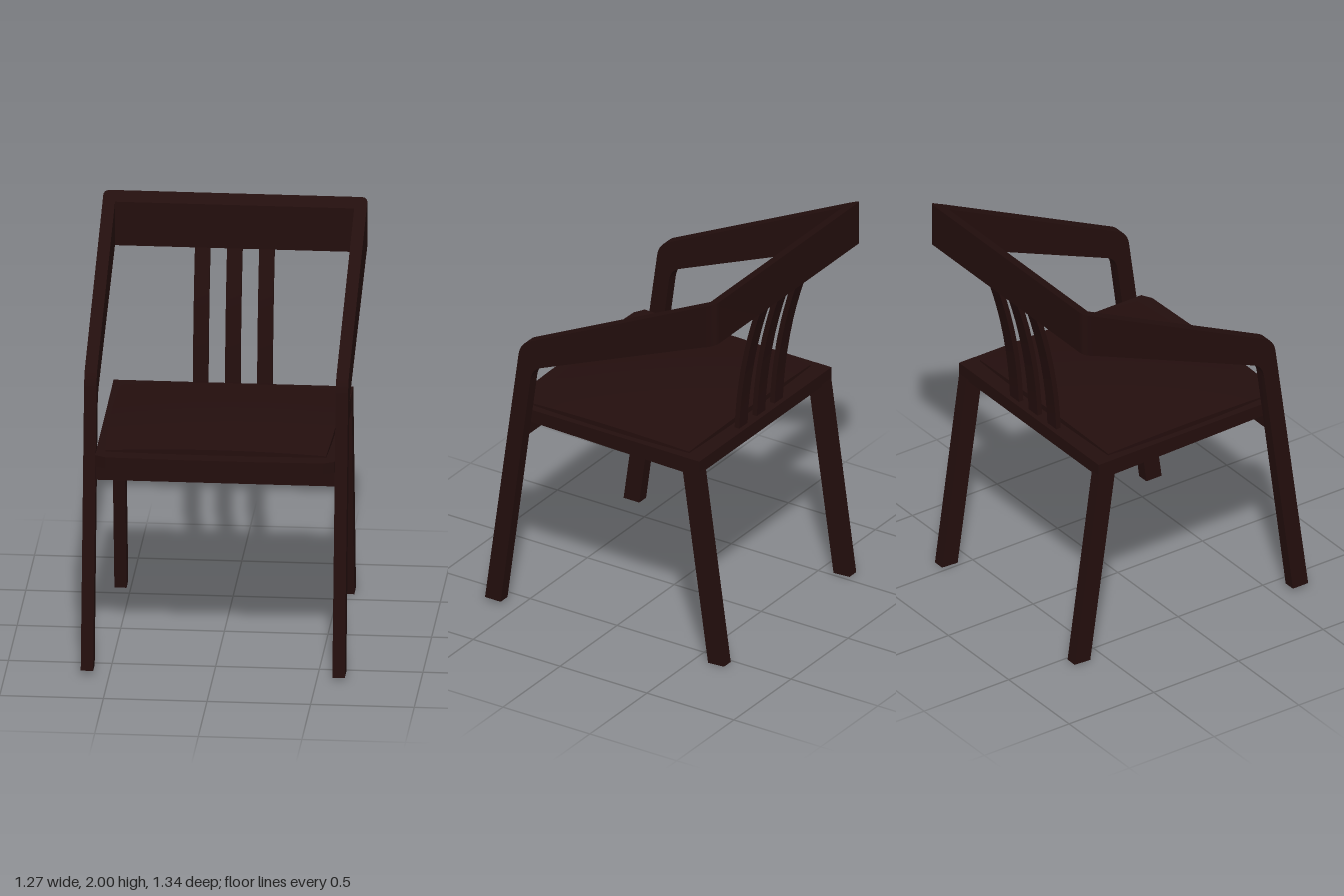
import * as THREE from 'three';
import { toCreasedNormals } from 'three/addons/utils/BufferGeometryUtils.js';

const darkWood = new THREE.MeshStandardMaterial({ color: 0x230e0d });
darkWood.name = 'darkWood';

export function createModel() {
  const chair = new THREE.Group();
  chair.name = 'armchair';

  const add = (name, geometry) => {
    const mesh = new THREE.Mesh(geometry, darkWood);
    mesh.name = name;
    chair.add(mesh);
    return mesh;
  };
  const box = (name, w, h, d, x, y, z) =>
    add(name, new THREE.BoxGeometry(w, h, d).translate(x, y, z));
  const polygon = (points) => new THREE.Shape(points.map(([a, b]) => new THREE.Vector2(a, b)));

  // Extrude a side profile drawn as (z, y) between x0 and x1
  const sideExtrude = (shape, x0, x1) => toCreasedNormals(
    new THREE.ExtrudeGeometry(shape, { depth: x1 - x0, bevelEnabled: false, curveSegments: 8 })
      .rotateY(-Math.PI / 2).translate(x1, 0, 0), 0.5);

  // Extrude a plan drawn as (x, z) between y0 and y1
  const planExtrude = (shape, y0, y1) => new THREE.ExtrudeGeometry(shape,
    { depth: y1 - y0, bevelEnabled: false, curveSegments: 6 })
    .rotateX(Math.PI / 2).translate(0, y1, 0);

  // Front leg bending into the rising armrest
  const arm = new THREE.Shape();
  arm.moveTo(0.58, 0.02);
  arm.lineTo(0.67, 0.02);
  arm.lineTo(0.477, 1.4);
  arm.quadraticCurveTo(0.466, 1.465, 0.41, 1.488);
  arm.lineTo(-0.6, 1.974);
  arm.lineTo(-0.6, 1.752);
  arm.lineTo(0.345, 1.362);
  arm.quadraticCurveTo(0.402, 1.34, 0.41, 1.275);
  arm.closePath();

  // Splayed rear leg
  const rearLeg = polygon([[-0.575, 0], [-0.43, 1], [-0.43, 1.08], [-0.515, 1.08], [-0.667, 0.005]]);

  // Side rail, slightly deeper at the back
  const sideRail = polygon([[-0.5, 0.995], [0.5, 1.015], [0.5, 1.08], [-0.5, 1.08]]);

  for (const [side, s] of [['left', 1], ['right', -1]]) {
    const span = (a, b) => (s > 0 ? [a, b] : [-b, -a]);
    add(side + 'FrontLegAndArm', sideExtrude(arm, ...span(0.577, 0.637)));
    add(side + 'RearLeg', sideExtrude(rearLeg, ...span(0.52, 0.579)));
    add(side + 'SideRail', sideExtrude(sideRail, ...span(0.525, 0.578)));
  }

  // Back rail: rounded rear corners, top and bottom following the arm slope
  const railPlan = new THREE.Shape();
  railPlan.moveTo(-0.637, -0.587);
  railPlan.lineTo(-0.637, -0.625);
  railPlan.quadraticCurveTo(-0.637, -0.658, -0.604, -0.658);
  railPlan.lineTo(0.604, -0.658);
  railPlan.quadraticCurveTo(0.637, -0.658, 0.637, -0.625);
  railPlan.lineTo(0.637, -0.587);
  railPlan.closePath();
  const rail = planExtrude(railPlan, 0, 1);
  const rp = rail.attributes.position;
  for (let i = 0; i < rp.count; i++) {
    const back = -0.587 - rp.getZ(i);
    rp.setY(i, rp.getY(i) > 0.5 ? 1.967 + back * 0.48 : 1.745 + back * 0.44);
  }
  add('backRail', toCreasedNormals(rail, 0.5));

  // Seat board with clipped front corners
  const board = polygon([[-0.578, -0.525], [0.578, -0.525], [0.578, 0.55], [0.525, 0.578],
    [0.2, 0.587], [-0.2, 0.587], [-0.525, 0.578], [-0.578, 0.55]]);
  add('seatBoard', planExtrude(board, 1.022, 1.08));

  // Cross rails under the seat
  box('frontApron', 1.156, 0.085, 0.05, 0, 0.9825, 0.485);
  box('rearApron', 1.05, 0.08, 0.05, 0, 1.037, -0.485);

  // Thin domed seat pad with gently bowed edges
  const pad = new THREE.BoxGeometry(2, 1, 2, 16, 1, 16);
  const pp = pad.attributes.position;
  for (let i = 0; i < pp.count; i++) {
    const u = pp.getX(i), v = pp.getZ(i);
    const top = pp.getY(i) > 0;
    const dome = 0.02 * (1 - u * u) + 0.018 * (1 - v * v) - 0.013;
    pp.setXYZ(i, u * (0.532 + 0.015 * (1 - v * v)),
      top ? 1.1 + dome : 1.07,
      0.03 + v * (0.465 + 0.012 * (1 - u * u)));
  }
  pad.computeVertexNormals();
  add('seatPad', pad);

  // Three bowed back slats
  const slat = new THREE.Shape();
  slat.moveTo(-0.473, 1.07);
  slat.quadraticCurveTo(-0.487, 1.43, -0.6, 1.77);
  slat.lineTo(-0.63, 1.775);
  slat.quadraticCurveTo(-0.515, 1.44, -0.499, 1.07);
  slat.closePath();
  for (const x of [-0.155, 0, 0.155]) add('backSlat', sideExtrude(slat, x - 0.037, x + 0.037));

  return chair;
}
